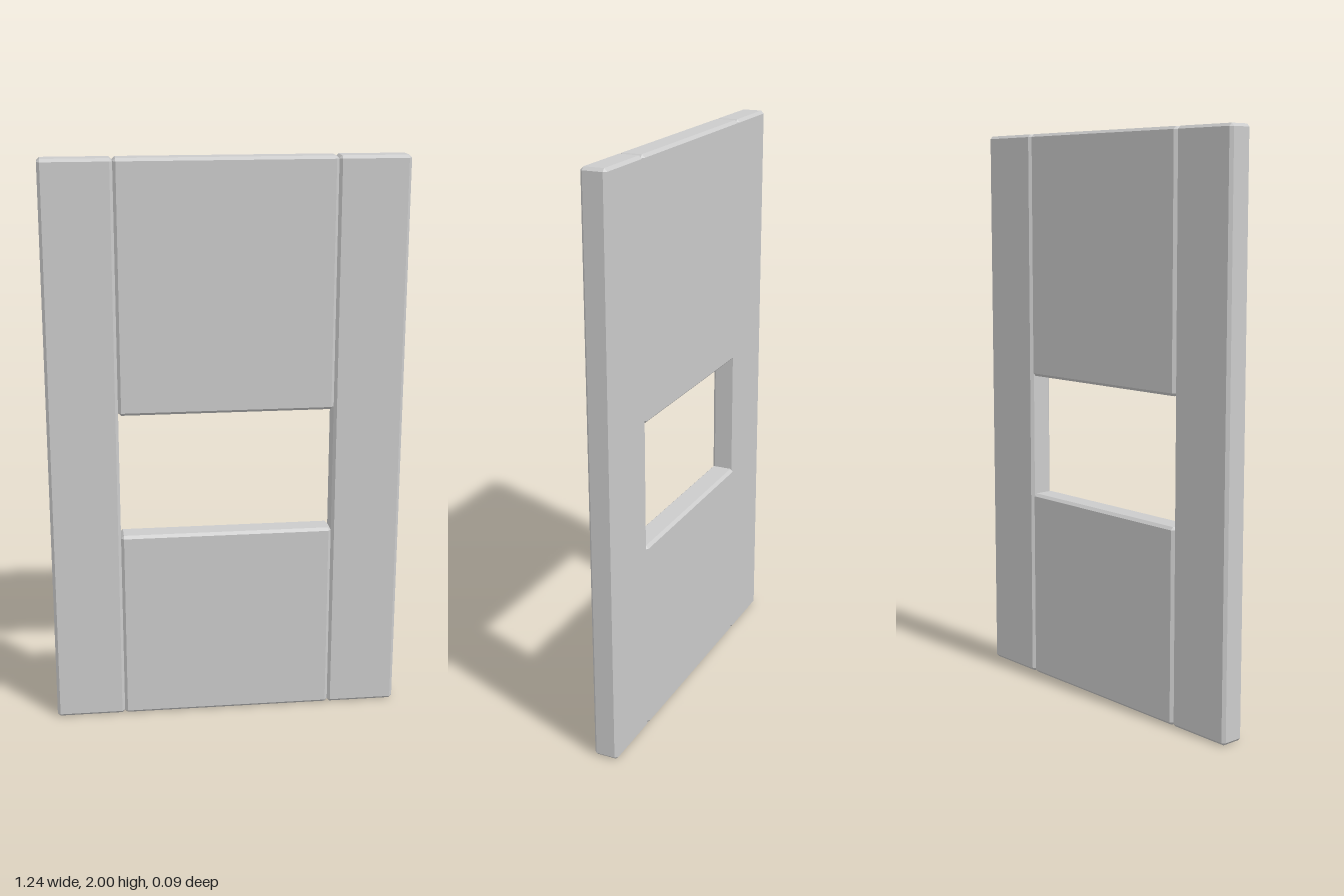
import * as THREE from 'three';
import { ConvexGeometry } from 'three/addons/geometries/ConvexGeometry.js';

const DEPTH = 0.088;
const CHAMFER = 0.01;

// Box with every edge and corner chamfered flat
function chamferedBox(w, h, d, c) {
  const half = [w / 2, h / 2, d / 2];
  const points = [];
  for (const sx of [-1, 1]) for (const sy of [-1, 1]) for (const sz of [-1, 1]) {
    const sign = [sx, sy, sz];
    // each corner becomes three points, one on each adjoining face
    for (let face = 0; face < 3; face++) {
      points.push(new THREE.Vector3(
        ...half.map((v, axis) => sign[axis] * (axis === face ? v : v - c))
      ));
    }
  }
  return new ConvexGeometry(points);
}

export function createModel() {
  const group = new THREE.Group();
  group.name = 'panelledDoor';
  const material = new THREE.MeshStandardMaterial({ color: 0xcccccc, flatShading: true });

  function addBoard(name, x0, x1, y0, y1) {
    const mesh = new THREE.Mesh(chamferedBox(x1 - x0, y1 - y0, DEPTH, CHAMFER), material);
    mesh.position.set((x0 + x1) / 2, (y0 + y1) / 2, 0);
    mesh.name = name;
    group.add(mesh);
  }

  // Full-height side boards
  addBoard('leftStile', 0.375, 0.62, 0, 2);
  addBoard('rightStile', -0.62, -0.375, 0, 2);

  // Centre boards above and below the opening
  addBoard('upperPanel', -0.375, 0.375, 1.13, 2);
  addBoard('lowerPanel', -0.375, 0.375, 0, 0.69);

  return group;
}
